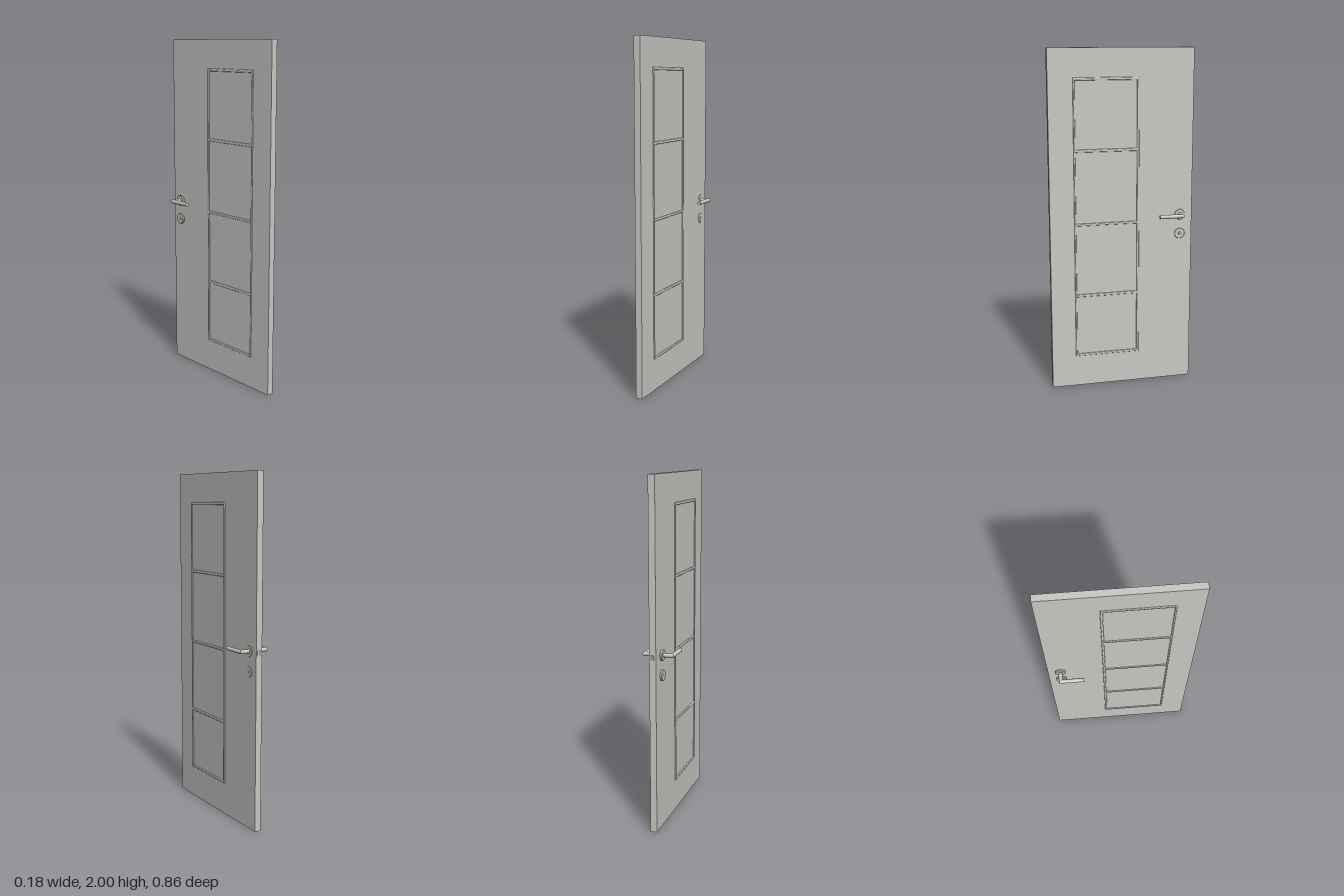
import * as THREE from 'three';

const doorGrey = new THREE.MeshStandardMaterial({ color: 0xc9c8c4 });
doorGrey.name = 'door grey';
const metalGrey = new THREE.MeshStandardMaterial({ color: 0xc8c7c0 });
metalGrey.name = 'handle grey';

const SLAB = { x0: -0.011, x1: 0.027, z0: -0.423, z1: 0.427 };
const HANDLE_Y = 1.027, KEY_Y = 0.912, LOCK_Z = -0.35, AXIS_X = -0.001;

function part(parent, name, geometry, material) {
  const mesh = new THREE.Mesh(geometry, material);
  mesh.name = name;
  parent.add(mesh);
  return mesh;
}

function rect(Type, x0, x1, y0, y1) {
  const p = new Type();
  p.moveTo(x0, y0).lineTo(x1, y0).lineTo(x1, y1).lineTo(x0, y1).closePath();
  return p;
}

// Ladder-shaped moulding running through the slab, proud on both faces
function mouldingGeometry() {
  const shape = rect(THREE.Shape, -0.285, 0.1, 0.188, 1.836);
  const panels = [[0.202, 0.557], [0.573, 0.987], [1.001, 1.416], [1.432, 1.82]];
  for (const [y0, y1] of panels) shape.holes.push(rect(THREE.Path, -0.275, 0.086, y0, y1));
  const bevel = 0.004;
  return new THREE.ExtrudeGeometry(shape, {
    depth: 0.05 - 2 * bevel, bevelThickness: bevel, bevelSize: bevel,
    bevelOffset: -bevel, bevelSegments: 3,
  }).rotateY(Math.PI / 2).translate(-0.017 + bevel, 0, 0);
}

// Round plate along x with softened rims
function rosetteGeometry(x0, x1, r) {
  const c = 0.002, h = x1 - x0;
  const profile = [[0, 0], [r, 0], [r, 0], [r, h - c], [r, h - c], [r - c, h], [r - c, h], [0, h]]
    .map(([a, b]) => new THREE.Vector2(a, b));
  return new THREE.LatheGeometry(profile, 32).rotateZ(-Math.PI / 2).translate(x0, 0, 0);
}

// One lever, pointing towards +z, with a mitred elbow
function makeHandle(name) {
  const g = new THREE.Group();
  g.name = name;
  const r = 0.0115, elbow = 0.08, tip = -0.214 - LOCK_Z;

  const neck = new THREE.CylinderGeometry(r, r, elbow, 24, 1, true)
    .rotateZ(-Math.PI / 2).translate(elbow / 2, 0, 0);
  const np = neck.attributes.position;
  for (let i = 0; i < np.count; i++) {
    if (np.getX(i) > elbow / 2) np.setX(i, elbow - np.getZ(i));
  }
  part(g, 'handleNeck', neck, metalGrey);

  const lever = new THREE.CylinderGeometry(r, r, tip, 24)
    .rotateX(Math.PI / 2).translate(elbow, 0, tip / 2);
  const lp = lever.attributes.position;
  for (let i = 0; i < lp.count; i++) {
    if (lp.getZ(i) < tip / 2) lp.setZ(i, elbow - lp.getX(i));
  }
  part(g, 'handleLever', lever, metalGrey);
  part(g, 'handleRosette', rosetteGeometry(0.018, 0.03, 0.0315), metalGrey);
  return g;
}

// Key rosette with its lock core and key slot
function makeKeyRosette(name) {
  const g = new THREE.Group();
  g.name = name;
  part(g, 'keyRosette', rosetteGeometry(0.018, 0.03, 0.0315), metalGrey);
  part(g, 'lockCore', rosetteGeometry(0, 0.0315, 0.009), metalGrey);
  part(g, 'lockTail', new THREE.BoxGeometry(0.031, 0.018, 0.009).translate(0.0155, -0.012, 0), metalGrey);
  return g;
}

export function createModel() {
  const model = new THREE.Group();
  model.name = 'door';

  part(model, 'slab',
    new THREE.BoxGeometry(SLAB.x1 - SLAB.x0, 2, SLAB.z1 - SLAB.z0), doorGrey)
    .position.set((SLAB.x0 + SLAB.x1) / 2, 1, (SLAB.z0 + SLAB.z1) / 2);
  part(model, 'moulding', mouldingGeometry(), doorGrey);

  // Hardware on both faces; a half turn about z mirrors the symmetric sets
  for (const [side, turn] of [['left', 0], ['right', Math.PI]]) {
    const handle = makeHandle(side + 'Handle');
    handle.position.set(AXIS_X, HANDLE_Y, LOCK_Z);
    handle.rotation.z = turn;
    const key = makeKeyRosette(side + 'KeyRosette');
    key.position.set(AXIS_X, KEY_Y, LOCK_Z);
    key.rotation.y = turn;
    model.add(handle, key);
  }

  // Wedge-shaped latch on the closing edge
  const wedge = new THREE.Shape();
  wedge.moveTo(0, -0.01).lineTo(0.021, -0.01).lineTo(0.021, 0.002).lineTo(0.008, 0.007).lineTo(0, 0.004).closePath();
  part(model, 'latch',
    new THREE.ExtrudeGeometry(wedge, { depth: 0.026, bevelEnabled: false }).rotateX(-Math.PI / 2), metalGrey)
    .position.set(0, 1.013, SLAB.z0);
  return model;
}
